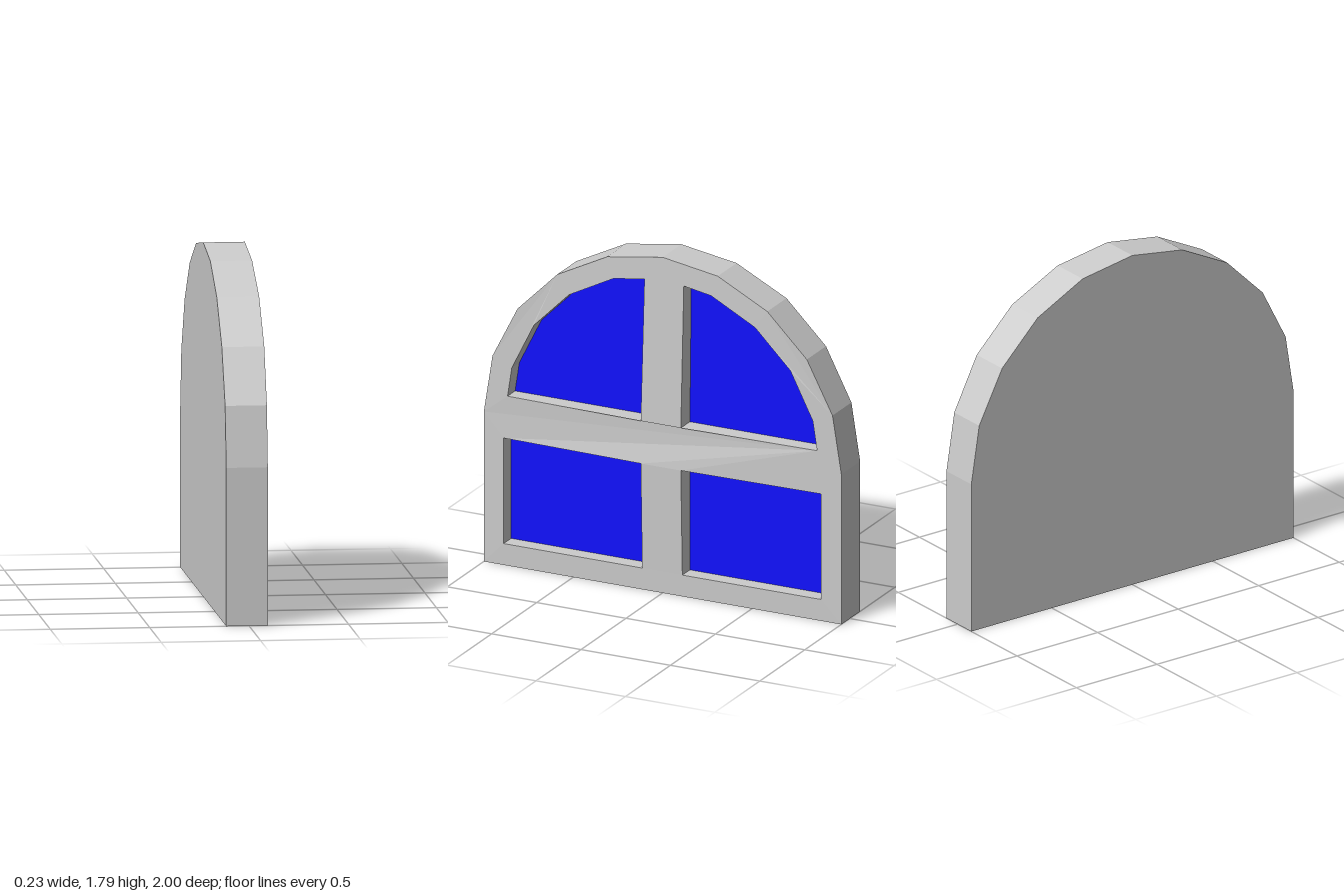
import * as THREE from 'three';

const BACK = -0.115, GLASS = 0.01, FRONT = 0.094, BULGE = 0.02;

const toPoints = (list) => list.map(([u, v]) => new THREE.Vector2(u, v));

// Arched outline: straight jambs under a ten-sided half round
function outlinePoints() {
  const points = [[-1, 0], [1, 0]];
  for (let i = 0; i <= 10; i++) {
    const a = (i / 10) * Math.PI;
    points.push([Math.cos(a), 0.8 + 0.99 * Math.sin(a)]);
  }
  return toPoints(points);
}

// Two openings for one side: a rectangle below, a quarter arch above
function openings(side) {
  const top = side < 0 ? 0.1 : 0.12;
  const lower = [[0.112, 0.115], [0.888, 0.115], [0.888, 0.678], [0.112, 0.678]];
  const upper = [[0.112, 0.905], [0.866, 0.905], [0.842, 1.06], [0.718, 1.308],
    [0.52, 1.505], [0.273, 1.632], [top, 1.658]];
  return [lower, upper].map((pane) => toPoints(pane.map(([u, v]) => [side * u, v])));
}

// Extrude towards +x between two depths
function extrudeX(shape, from, to) {
  const geometry = new THREE.ExtrudeGeometry(shape, { depth: to - from, bevelEnabled: false });
  return geometry.translate(0, 0, from).rotateY(Math.PI / 2);
}

// Raise the front face gently towards the crossing of the bars
function bulgeFront(geometry) {
  const p = geometry.attributes.position;
  for (let i = 0; i < p.count; i++) {
    if (p.getX(i) < FRONT - 0.001) continue;
    const y = p.getY(i);
    const dz = Math.max(0, Math.abs(p.getZ(i)) - 0.112) / 0.888;
    const dy = Math.max(0, (0.678 - y) / 0.678, (y - 0.905) / 0.885);
    p.setX(i, FRONT + BULGE * Math.max(0, 1 - Math.max(dz, dy)));
  }
  geometry.computeVertexNormals();
  return geometry;
}

export function createModel() {
  const group = new THREE.Group();
  group.name = 'archedWindow';
  const grey = new THREE.MeshStandardMaterial({ color: 0xcccccc, flatShading: true });
  const blue = new THREE.MeshStandardMaterial({ color: 0x0f0fff });
  const add = (name, geometry, material) => {
    const mesh = new THREE.Mesh(geometry, material);
    mesh.name = name;
    group.add(mesh);
  };
  const panes = [...openings(-1), ...openings(1)];

  // Solid back panel
  add('backPanel', extrudeX(new THREE.Shape(outlinePoints()), BACK, GLASS), grey);

  // Frame with crossing bars
  const frameShape = new THREE.Shape(outlinePoints());
  frameShape.holes = panes.map((pane) => new THREE.Path(pane));
  add('frame', bulgeFront(extrudeX(frameShape, GLASS, FRONT)), grey);

  // Glass set into each opening
  const names = ['lowerLeftPane', 'upperLeftPane', 'lowerRightPane', 'upperRightPane'];
  panes.forEach((pane, i) => {
    const glass = new THREE.ShapeGeometry(new THREE.Shape(pane));
    add(names[i], glass.translate(0, 0, GLASS + 0.003).rotateY(Math.PI / 2), blue);
  });
  return group;
}
